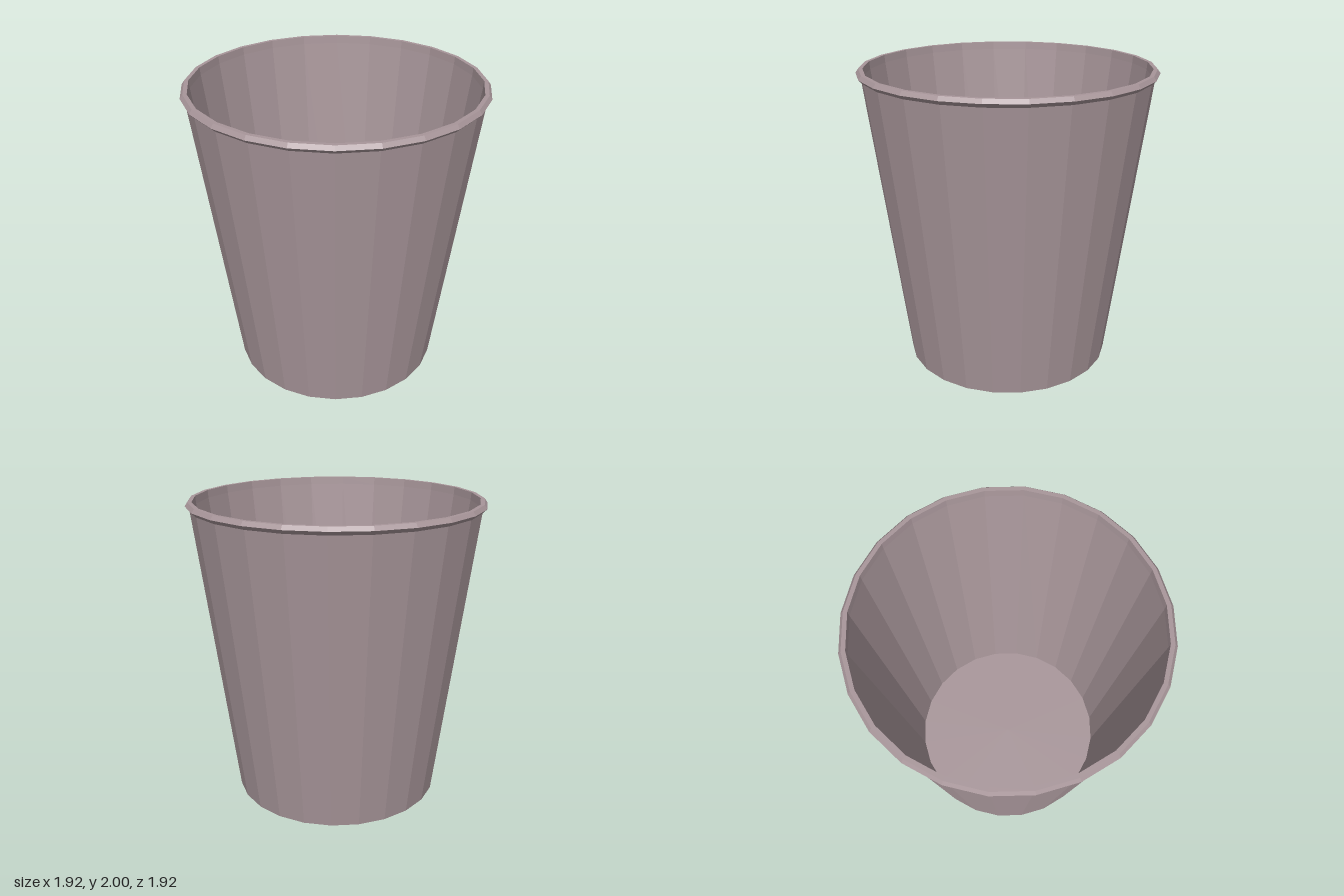
import * as THREE from 'three';

const SIDES = 24;

export function createModel() {
  const group = new THREE.Group();
  group.name = 'cup';
  const material = new THREE.MeshStandardMaterial({ color: 0xa8969a, flatShading: true });

  // Revolve a profile of [radius, height] pairs into a faceted part
  const addLathe = (name, profile) => {
    const points = profile.map(([r, y]) => new THREE.Vector2(r, y));
    const mesh = new THREE.Mesh(new THREE.LatheGeometry(points, SIDES), material);
    mesh.name = name;
    group.add(mesh);
  };

  // Tapered wall, outside then inside, open at both ends
  addLathe('wall', [
    [0.665, 0.03], [0.675, 0], [0.69, 0], [0.932, 1.95],
    [0.912, 1.95], [0.665, 0.03],
  ]);

  // Rolled lip with a pointed outer edge
  addLathe('rim', [
    [0.912, 1.95], [0.935, 1.95], [0.96, 1.975], [0.942, 2], [0.916, 2], [0.912, 1.95],
  ]);

  // Floor, recessed slightly above the foot
  addLathe('floor', [[0, 0.025], [0.672, 0.025], [0.667, 0.04], [0, 0.04]]);

  return group;
}
